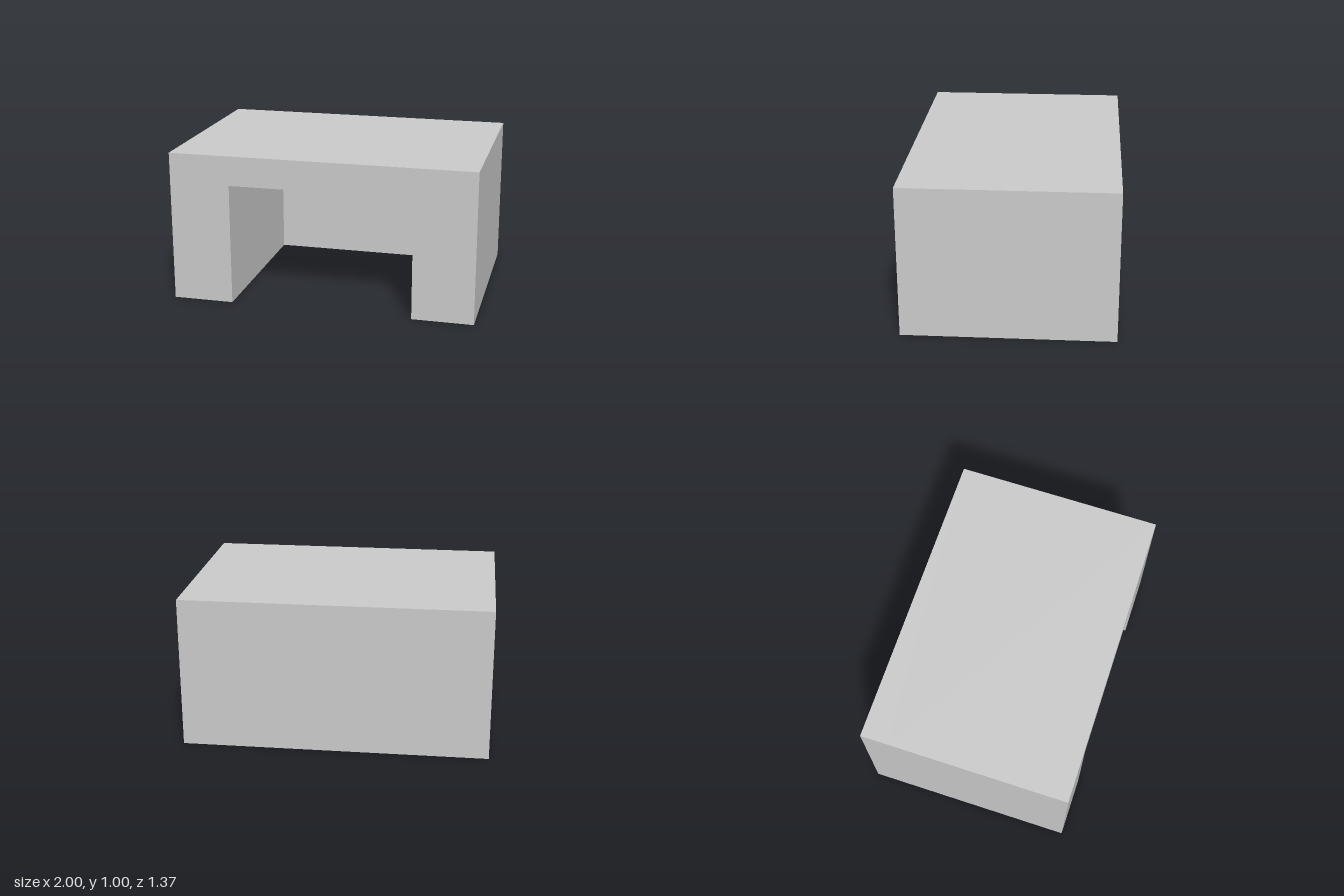
import * as THREE from 'three';

const WIDTH = 2, HEIGHT = 0.995, DEPTH = 1.368;
const OPENING_WIDTH = 1.2, OPENING_HEIGHT = 0.8, BACK_THICKNESS = 0.184;

export function createModel() {
  const group = new THREE.Group();
  const material = new THREE.MeshStandardMaterial({ color: 0xcccccc, flatShading: true });
  const w = WIDTH / 2, o = OPENING_WIDTH / 2;

  // Two side walls and the top, as one arch-shaped section
  const section = new THREE.Shape([
    [-w, 0], [-o, 0], [-o, OPENING_HEIGHT], [o, OPENING_HEIGHT],
    [o, 0], [w, 0], [w, HEIGHT], [-w, HEIGHT],
  ].map(([x, y]) => new THREE.Vector2(x, y)));
  const frame = new THREE.Mesh(
    new THREE.ExtrudeGeometry(section, { depth: DEPTH - BACK_THICKNESS, bevelEnabled: false }),
    material
  );
  frame.name = 'sidesAndTop';
  frame.position.z = -DEPTH / 2 + BACK_THICKNESS;

  // Solid wall closing the rear
  const back = new THREE.Mesh(new THREE.BoxGeometry(WIDTH, HEIGHT, BACK_THICKNESS), material);
  back.name = 'backWall';
  back.position.set(0, HEIGHT / 2, -DEPTH / 2 + BACK_THICKNESS / 2);

  group.add(frame, back);
  return group;
}
